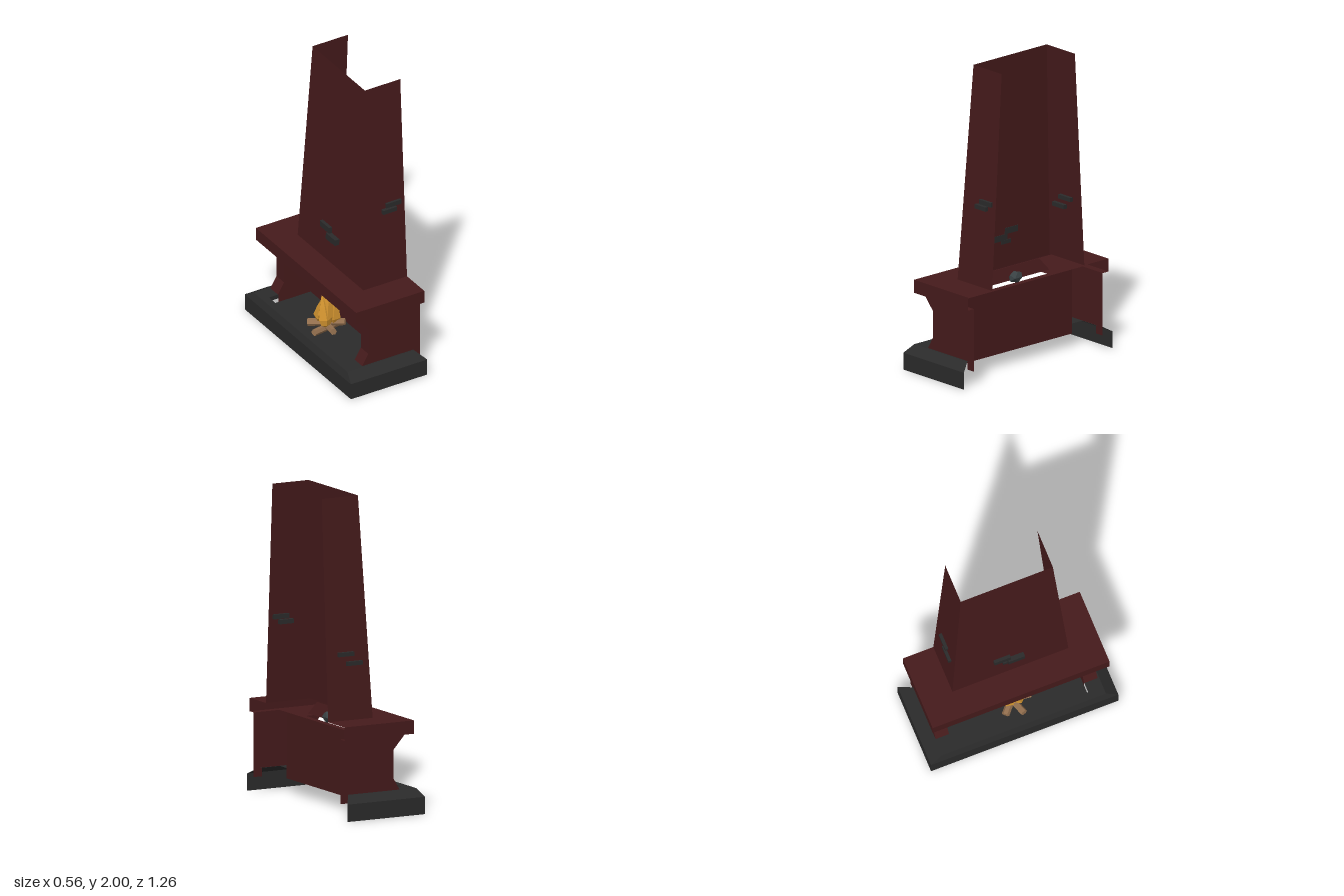
import * as THREE from 'three';

const mat = (color) => new THREE.MeshStandardMaterial({ color, flatShading: true, side: THREE.DoubleSide });

// Flat panels from four-cornered faces
function panels(name, quads, material) {
  const pos = [];
  for (const [a, b, c, d] of quads) pos.push(...a, ...b, ...c, ...a, ...c, ...d);
  const g = new THREE.BufferGeometry();
  g.setAttribute('position', new THREE.Float32BufferAttribute(pos, 3));
  g.computeVertexNormals();
  const m = new THREE.Mesh(g, material);
  m.name = name;
  return m;
}

// Horizontal rectangle and upright walls
const flat = (x0, x1, z0, z1, y) => [[x0, y, z0], [x0, y, z1], [x1, y, z1], [x1, y, z0]];
const wallX = (x, y0, y1, z0, z1) => [[x, y0, z0], [x, y0, z1], [x, y1, z1], [x, y1, z0]];
const wallZ = (z, y0, y1, x0, x1) => [[x0, y0, z], [x1, y0, z], [x1, y1, z], [x0, y1, z]];

export function createModel() {
  const model = new THREE.Group();
  const red = mat(0x451a1b), grey = mat(0x2a2a2a), gold = mat(0xd0922f), wood = mat(0x94704f);
  const add = (name, quads, material) => model.add(panels(name, quads, material));

  // Hearth base: open-backed skirt, bevelled rim and sunken floor
  const base = [
    wallX(-0.28, 0, 0.11, -0.63, 0.63),
    [[-0.28, 0.11, -0.63], [-0.28, 0.11, 0.63], [-0.26, 0.155, 0.555], [-0.26, 0.155, -0.555]],
    flat(-0.26, -0.21, -0.555, 0.555, 0.155),
    wallX(-0.21, 0.1, 0.155, -0.455, 0.455),
    flat(-0.21, 0.095, -0.455, 0.455, 0.1),
  ];
  for (const s of [-1, 1]) {
    base.push(
      wallZ(s * 0.63, 0, 0.11, -0.28, 0.28),
      [[-0.28, 0.11, s * 0.63], [0.28, 0.11, s * 0.63], [0.23, 0.155, s * 0.555], [-0.26, 0.155, s * 0.555]],
      flat(-0.21, 0.095, s * 0.455, s * 0.555, 0.155),
      flat(0.095, 0.23, s * 0.54, s * 0.555, 0.155),
    );
  }
  add('hearthBase', base, grey);

  // Piers: side profile with a corbel above and a flare below
  const profile = [[-0.145, 0.155], [-0.1, 0.23], [-0.1, 0.41], [-0.19, 0.51]];
  for (const s of [-1, 1]) {
    const quads = [];
    for (let i = 0; i < profile.length - 1; i++) {
      const [xa, ya] = profile[i], [xb, yb] = profile[i + 1];
      quads.push([[xa, ya, s * 0.455], [xa, ya, s * 0.545], [xb, yb, s * 0.545], [xb, yb, s * 0.455]]);
      for (const [z, back] of [[0.545, 0.28], [0.455, 0.095]])
        quads.push([[xa, ya, s * z], [back, ya, s * z], [back, yb, s * z], [xb, yb, s * z]]);
    }
    quads.push(wallZ(s * 0.545, 0.1, 0.155, 0.22, 0.28), wallZ(s * 0.455, 0.1, 0.155, -0.14, 0.095));
    add(s > 0 ? 'leftPier' : 'rightPier', quads, red);
  }
  add('fireboxBack', [wallX(0.095, 0.09, 0.51, -0.455, 0.455)], red);

  // Mantel shell, with a smoke slot in its underside
  const mantel = [
    wallX(-0.22, 0.51, 0.595, -0.595, 0.595),
    flat(-0.22, -0.04, -0.595, 0.595, 0.595),
    flat(-0.22, 0, -0.595, 0.595, 0.51),
    flat(0.055, 0.095, -0.595, 0.595, 0.51),
  ];
  for (const s of [-1, 1]) {
    mantel.push(
      wallZ(s * 0.595, 0.51, 0.595, -0.22, 0.28),
      flat(-0.04, 0.28, s * 0.39, s * 0.595, 0.595),
      flat(0.095, 0.28, s * 0.545, s * 0.595, 0.51),
      flat(0, 0.055, s * 0.28, s * 0.595, 0.51),
    );
  }
  add('mantel', mantel, red);
  add('smokeHood', [[[0, 0.51, -0.35], [0, 0.51, 0.35], [-0.03, 0.59, 0.29], [-0.03, 0.59, -0.29]]], red);

  // Tapered chimney, open at the back and top
  const chimney = [[[-0.04, 0.595, -0.39], [-0.04, 0.595, 0.39], [0.02, 2, 0.31], [0.02, 2, -0.31]]];
  for (const s of [-1, 1])
    chimney.push([[-0.04, 0.595, s * 0.39], [0.28, 0.595, s * 0.39], [0.28, 2, s * 0.31], [0.02, 2, s * 0.31]]);
  add('chimney', chimney, red);

  // Accent bricks: centre, then size
  const bricks = [
    [-0.045, 0.79, 0.035, 0.035, 0.04, 0.11], [-0.038, 0.83, -0.055, 0.025, 0.04, 0.11],
    [-0.036, 0.76, -0.01, 0.02, 0.025, 0.08],
    [0.195, 1.145, 0.357, 0.11, 0.03, 0.035], [0.16, 1.11, 0.359, 0.1, 0.028, 0.05],
    [0.145, 1.013, -0.364, 0.11, 0.026, 0.045], [0.085, 0.952, -0.366, 0.11, 0.026, 0.045],
  ];
  for (const [x, y, z, w, h, d] of bricks) {
    const b = new THREE.Mesh(new THREE.BoxGeometry(w, h, d), grey);
    b.name = 'accentBrick';
    b.position.set(x, y, z);
    model.add(b);
  }

  // Fire: crossed logs under faceted tongues of flame
  const fire = new THREE.Group();
  fire.name = 'fire';
  fire.position.set(-0.07, 0.12, 0);
  [0.3, 1.4, 2.4].forEach((angle, i) => {
    const log = new THREE.Mesh(new THREE.CylinderGeometry(0.022, 0.025, 0.24, 6), wood);
    log.name = 'log';
    log.rotation.set(0, angle, Math.PI / 2 - 0.12);
    log.position.y = 0.01 + i * 0.02;
    fire.add(log);
  });
  const tongues = [[0, 0, 0.065, 0.29, 0.05], [-0.03, 0.04, 0.045, 0.24, -0.12], [-0.02, -0.045, 0.045, 0.2, 0.15],
    [0.04, 0.02, 0.045, 0.22, 0.08]];
  for (const [x, z, r, h, tilt] of tongues) {
    const outline = [[0, 0], [r * 0.7, 0.02], [r, h * 0.25], [r * 0.6, h * 0.6], [0, h]].map((p) => new THREE.Vector2(...p));
    const flame = new THREE.Mesh(new THREE.LatheGeometry(outline, 5), gold);
    flame.name = 'flame';
    flame.position.set(x, 0.04, z);
    flame.rotation.set(tilt, h * 20, -tilt / 2);
    fire.add(flame);
  }
  model.add(fire);

  // Dark smoke lump in the slot
  const smoke = new THREE.Mesh(new THREE.IcosahedronGeometry(0.05, 0), mat(0x3a4244));
  smoke.name = 'smoke';
  smoke.scale.set(0.7, 0.8, 1.15);
  smoke.position.set(0.06, 0.55, -0.01);
  model.add(smoke);

  return model;
}
